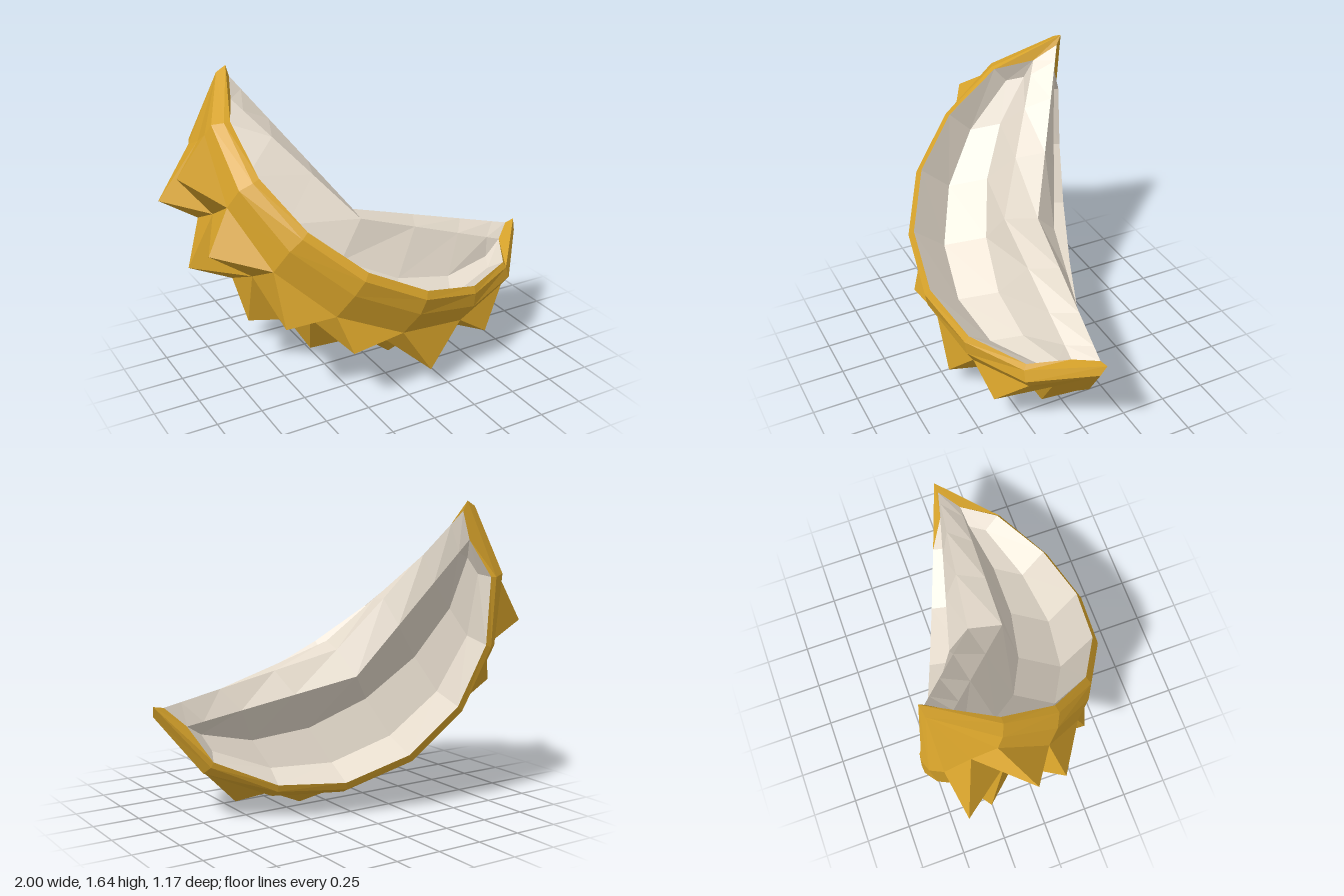
import * as THREE from 'three';

// Fruit wedge: a slice of a sphere between two tips, swept along its axis.
const centre = new THREE.Vector3(0.23, 1.135, -0.245);
const axis = new THREE.Vector3(0.802, -0.526, 0.286).normalize(); // tip to tip
const out = new THREE.Vector3(-0.585, -0.729, 0.352).normalize(); // towards the rind
const side = new THREE.Vector3().crossVectors(out, axis).normalize(); // towards the front cut
out.crossVectors(axis, side).normalize();

const angles = [0, 25, 46.5, 68, 90, 112, 133.5, 155, 180];
const rad = THREE.MathUtils.degToRad;
const lerp = THREE.MathUtils.lerp;

const place = (a, b, n) => centre.clone()
  .addScaledVector(axis, a).addScaledVector(out, b).addScaledVector(side, n);

// Round line: a point of the middle section follows an arc; both ends sit at [a, b, n].
const round = (b, n, length, end) => angles.map((deg) => {
  const c = -Math.cos(rad(deg));
  const s = Math.sin(rad(deg));
  return s < 1e-6 ? place(Math.sign(c) * end[0], end[1], end[2]) : place(c * length, b * s, n * s);
});

// Straight line from the middle section to both ends at [a, b, n].
const straight = (b, n, end) => angles.map((deg) => {
  const c = -Math.cos(rad(deg));
  return place(c * end[0], lerp(b, end[1], Math.abs(c)), lerp(n, end[2], Math.abs(c)));
});

function addTriangle(list, a, b, c) {
  const area = b.clone().sub(a).cross(c.clone().sub(a)).length();
  if (area > 1e-6) list.push(a, b, c);
}

// Strip of faces between neighbouring lines; peak(k, j) may raise a cell to a pyramid.
function strips(lines, peak = () => null) {
  const list = [];
  for (let j = 0; j < lines.length - 1; j++) {
    for (let k = 0; k < angles.length - 1; k++) {
      const c = [lines[j][k], lines[j][k + 1], lines[j + 1][k + 1], lines[j + 1][k]];
      const top = peak(k, j);
      if (top) {
        c.forEach((p, i) => addTriangle(list, p, c[(i + 1) % 4], top));
      } else {
        addTriangle(list, c[0], c[1], c[2]);
        addTriangle(list, c[0], c[2], c[3]);
      }
    }
  }
  return list;
}

function addMesh(group, name, list, material) {
  const geometry = new THREE.BufferGeometry().setFromPoints(list);
  geometry.computeVertexNormals(); // unshared corners give flat faces
  const mesh = new THREE.Mesh(geometry, material);
  mesh.name = name;
  group.add(mesh);
}

// Spikes of each row: [angle along the wedge, distance from the centre, angle across]
const backSpikes = [
  [40, 1.245, -16], [58, 1.24, -13.5], [79, 1.2, -13.5],
  [98, 1.19, -13.5], [121, 1.18, -14], [139, 1.185, -13],
];
const frontSpikes = [
  [37, 1.243, 16], [56, 1.24, 12], [81, 1.23, 12.5],
  [98, 1.225, 16], [122, 1.268, 11.5], [141.5, 1.19, 13],
];

export function createModel() {
  const rindColor = new THREE.MeshStandardMaterial({ color: 0xd6a22a });
  rindColor.name = 'goldenRind';
  const fleshColor = new THREE.MeshStandardMaterial({ color: 0xe6dccd });
  fleshColor.name = 'creamFlesh';

  const model = new THREE.Group();
  model.name = 'fruitWedge';

  // Ends of the lines at the tips
  const tip = [0.96, 0, 0];
  const rindTip = [0.99, 0.06, 0];
  const coreEnd = [0.92, 0.045, 0];
  const corner = (s) => [0.877, 0.177, 0.07 * s]; // where a pocket closes

  // Rim lines on one side: flesh edge, cut edge, bevel edge
  const rim = (s) => [
    round(0.80, 0.54 * s, 0.955, corner(s)),
    round(0.85, 0.545 * s, 0.985, tip),
    round(0.925, 0.485 * s, 1.04, rindTip),
  ];
  const front = rim(1);
  const back = rim(-1);
  addMesh(model, 'frontRim', strips([...front].reverse()), rindColor);
  addMesh(model, 'backRim', strips(back), rindColor);

  // Gold faces between the tips and the ends of the core
  const caps = [];
  for (const e of [-1, 1]) {
    for (const s of [-1, 1]) {
      const [core, pocket, point] = [coreEnd, corner(s), tip].map(([a, b, n]) => place(a * e, b, n));
      if (e * s > 0) addTriangle(caps, core, pocket, point);
      else addTriangle(caps, point, pocket, core);
    }
  }
  addMesh(model, 'tipCaps', caps, rindColor);

  // Rind shoulders beside the rows of spikes
  const shoulder = (s) => round(1.035, 0.355 * s, 1.04, rindTip);
  const [frontFoot, backFoot] = [shoulder(1), shoulder(-1)];
  addMesh(model, 'frontShoulder', strips([frontFoot, front[2]]), rindColor);
  addMesh(model, 'backShoulder', strips([back[2], backFoot]), rindColor);

  // Two rows of six pyramid spikes
  const spike = (k, j) => {
    if (k === 0 || k === 7) return null;
    const [deg, r, across] = (j === 0 ? backSpikes : frontSpikes)[k - 1];
    const t = rad(deg);
    const phi = rad(across);
    return place(-Math.cos(t) * r, r * Math.sin(t) * Math.cos(phi), r * Math.sin(t) * Math.sin(phi));
  };
  const middle = round(1.04, 0, 1.03, rindTip);
  addMesh(model, 'spikedRind', strips([backFoot, middle, frontFoot], spike), rindColor);

  // Flesh: hollow beds either side of the core
  const bed = (s) => [round(0.89, 0.29 * s, 0.93, corner(s)), round(0.71, 0.126 * s, 0.93, corner(s))];
  const ridge = (s) => straight(0.467, 0.17 * s, corner(s));
  addMesh(model, 'frontPocket', strips([front[0], ...bed(1), ridge(1)]), fleshColor);
  addMesh(model, 'backPocket', strips([ridge(-1), ...bed(-1).reverse(), back[0]]), fleshColor);
  addMesh(model, 'coreRidge', strips([ridge(1), straight(0.39, 0, coreEnd), ridge(-1)]), fleshColor);

  return model;
}
